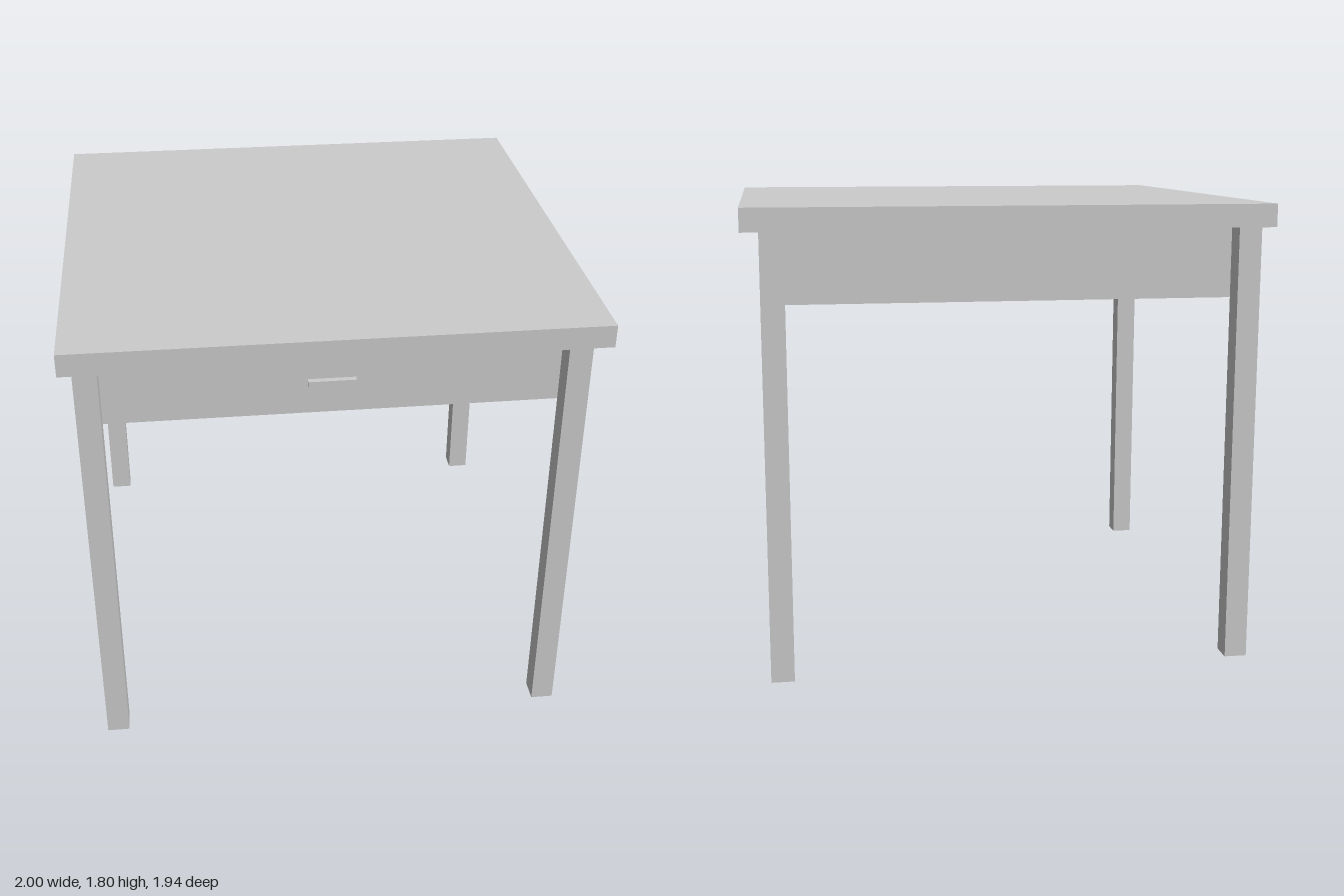
import * as THREE from 'three';

export function createModel() {
  const table = new THREE.Group();
  table.name = 'table';
  const material = new THREE.MeshStandardMaterial({ color: 0xcccccc, flatShading: true });

  // Box given by its lower and upper limits on each axis
  function addBox(name, [x0, x1], [y0, y1], [z0, z1]) {
    const mesh = new THREE.Mesh(new THREE.BoxGeometry(x1 - x0, y1 - y0, z1 - z0), material);
    mesh.position.set((x0 + x1) / 2, (y0 + y1) / 2, (z0 + z1) / 2);
    mesh.name = name;
    table.add(mesh);
  }

  addBox('tableTop', [-1, 1], [1.709, 1.797], [-0.972, 0.972]);

  // Four square legs, set slightly off centre under the top
  const legX = { Right: [-0.951, -0.863], Left: [0.843, 0.932] };
  const legZ = { front: [0.851, 0.94], back: [-0.947, -0.859] };
  for (const [end, z] of Object.entries(legZ)) {
    for (const [side, x] of Object.entries(legX)) {
      addBox(end + side + 'Leg', x, [0, 1.709], z);
    }
  }

  // Closed apron box, fitted between the inner corners of the legs
  addBox('apron', [-0.863, 0.843], [1.434, 1.709], [-0.859, 0.851]);

  // Drawer front and its bar handle
  addBox('drawerFront', [-0.84, 0.805], [1.46, 1.677], [0.84, 0.857]);
  addBox('drawerHandle', [-0.107, 0.072], [1.556, 1.58], [0.85, 0.88]);

  return table;
}
